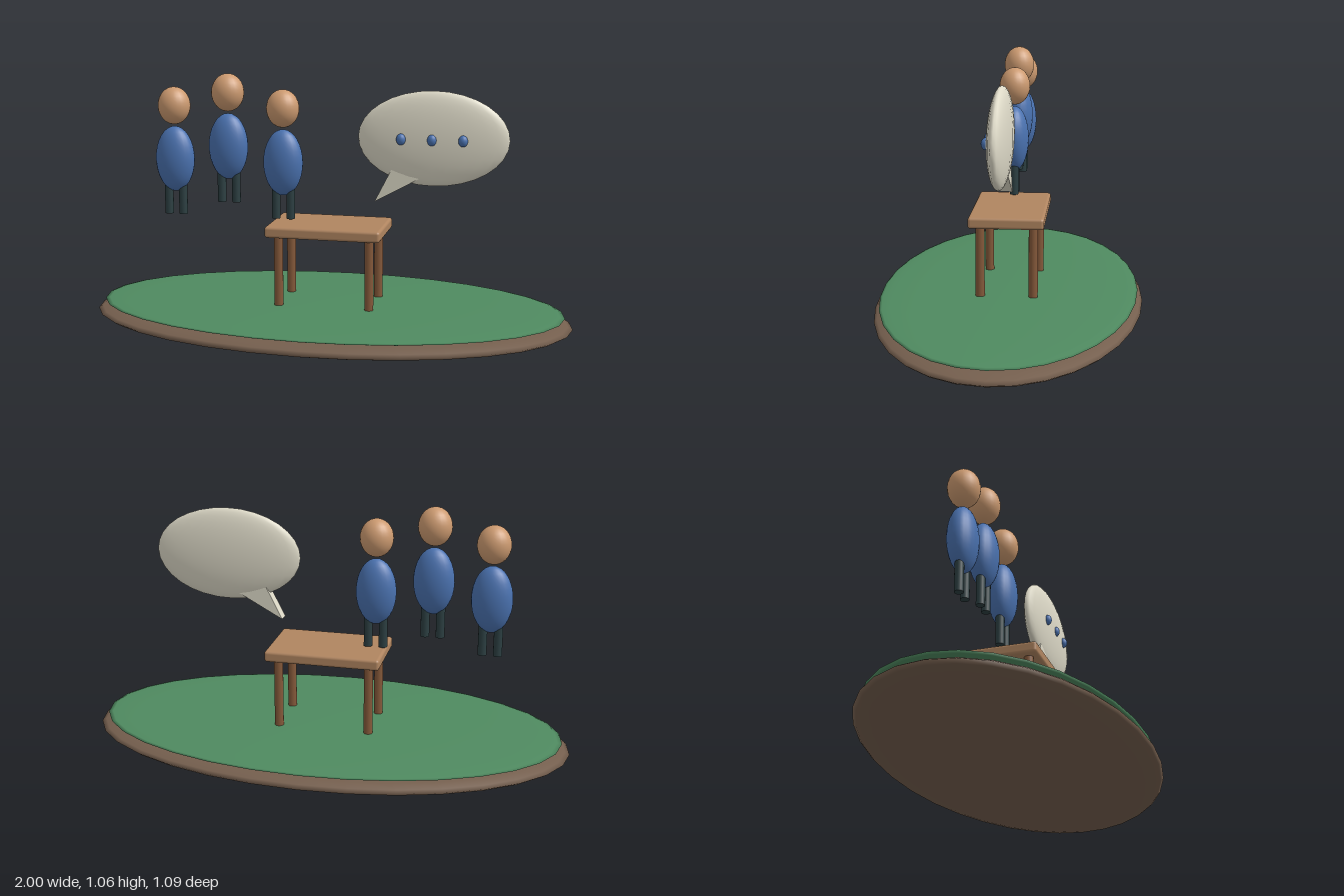
import * as THREE from 'three';
import { RoundedBoxGeometry } from 'three/addons/geometries/RoundedBoxGeometry.js';

const mat = (color) => new THREE.MeshStandardMaterial({ color });
const earth = mat(0x755f4e), grass = mat(0x4f8a60), wood = mat(0xb08560), darkWood = mat(0x85593a);
const shirt = mat(0x4a72b0), skin = mat(0xcc9a70), trousers = mat(0x2c3f42), cream = mat(0xdedac8);

function add(parent, name, geometry, material, x, y, z) {
  const mesh = new THREE.Mesh(geometry, material);
  mesh.name = name;
  mesh.position.set(x, y, z);
  parent.add(mesh);
  return mesh;
}

// Smooth sphere stretched to the given radii
function ellipsoid(rx, ry, rz, segments = 24, rings = 16) {
  return new THREE.SphereGeometry(1, segments, rings).scale(rx, ry, rz);
}

function group(parent, name, x = 0, y = 0, z = 0) {
  const g = new THREE.Group();
  g.name = name;
  g.position.set(x, y, z);
  parent.add(g);
  return g;
}

// Standing figure, origin at the soles
function addPerson(parent, x, y) {
  const person = group(parent, 'person', x, y, 0);
  add(person, 'head', ellipsoid(0.068, 0.078, 0.064), skin, 0, 0.457, 0);
  add(person, 'body', ellipsoid(0.083, 0.137, 0.059), shirt, 0, 0.234, 0);
  for (const side of [-1, 1]) {
    add(person, 'leg', new THREE.CylinderGeometry(0.018, 0.018, 0.18, 16), trousers, side * 0.031, 0.09, 0);
  }
}

export function createModel() {
  const model = new THREE.Group();
  model.name = 'discussionScene';

  // Oval ground: earth with a thin layer of grass
  add(model, 'earthBase', ellipsoid(1, 0.058, 0.547, 32, 16), earth, 0, 0.06, 0);
  add(model, 'grass', ellipsoid(0.968, 0.019, 0.527, 32, 16), grass, 0, 0.104, 0);

  // Table
  const table = group(model, 'table');
  add(table, 'tableTop', new RoundedBoxGeometry(0.475, 0.046, 0.304, 3, 0.012), wood, 0, 0.433, 0);
  for (const x of [-0.188, 0.188]) {
    for (const z of [-0.107, 0.107]) {
      add(table, 'tableLeg', new THREE.CylinderGeometry(0.0185, 0.0185, 0.31, 16), darkWood, x, 0.265, z);
    }
  }

  // Three people, the middle one a little higher
  addPerson(model, -0.66, 0.463);
  addPerson(model, -0.427, 0.523);
  addPerson(model, -0.194, 0.463);

  // Speech bubble with a pointed tail and three dots
  const bubble = group(model, 'speechBubble', 0.425, 0.815, 0);
  add(bubble, 'bubble', ellipsoid(0.305, 0.192, 0.046), cream, 0, 0, 0);
  const tail = new THREE.Shape([
    new THREE.Vector2(-0.232, -0.26),
    new THREE.Vector2(-0.05, -0.16),
    new THREE.Vector2(-0.165, -0.128),
  ]);
  const tailGeometry = new THREE.ExtrudeGeometry(tail, { depth: 0.048, bevelEnabled: false });
  add(bubble, 'bubbleTail', tailGeometry, cream, 0, 0, -0.024);
  for (const x of [-0.124, 0, 0.124]) {
    add(bubble, 'dot', ellipsoid(0.019, 0.023, 0.018, 16, 12), shirt, x, 0, 0.043);
  }

  return model;
}
